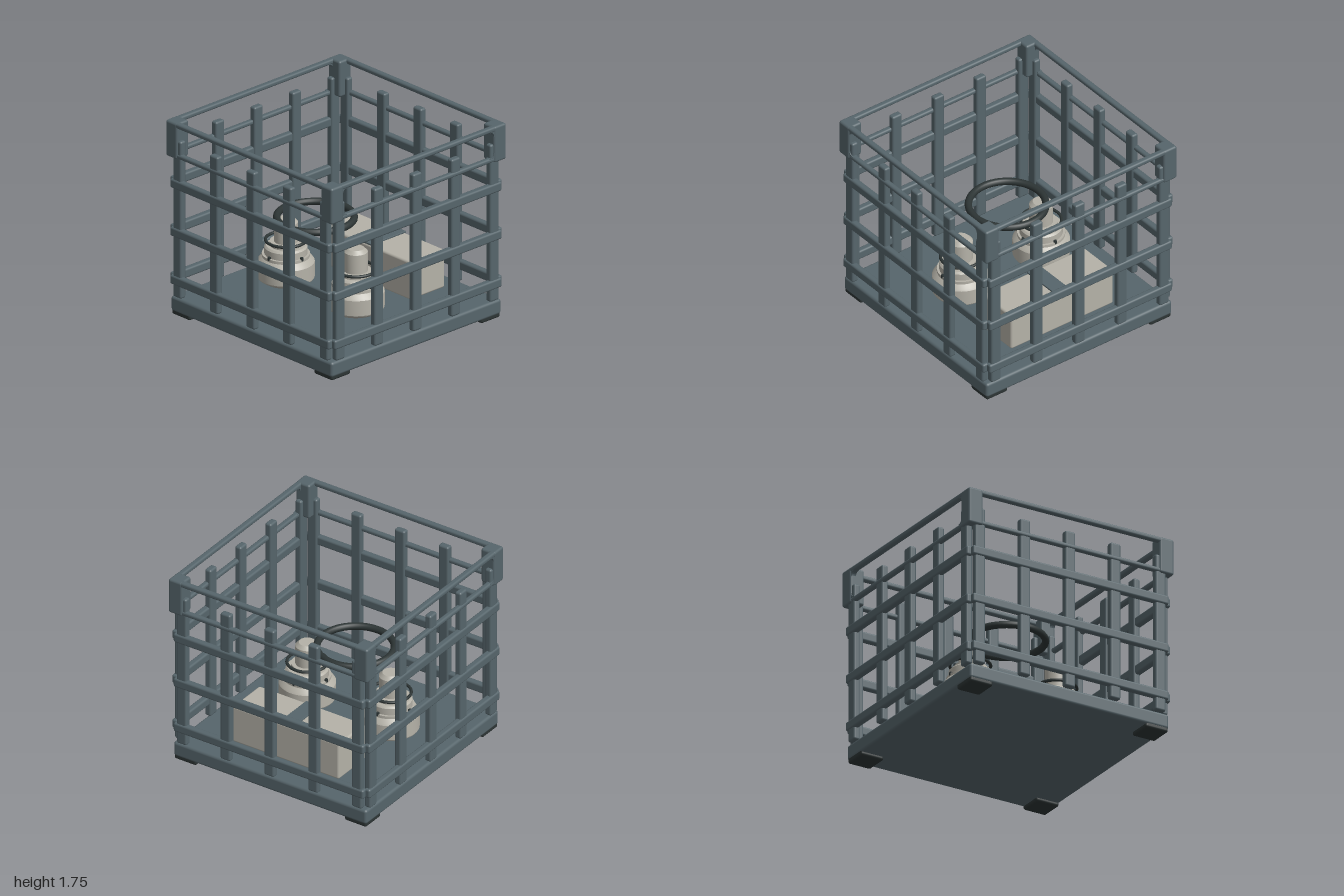
import * as THREE from 'three';
import { toCreasedNormals } from 'three/addons/utils/BufferGeometryUtils.js';
import { RoundedBoxGeometry } from 'three/addons/geometries/RoundedBoxGeometry.js';

const material = (name, color) => {
  const m = new THREE.MeshStandardMaterial({ color });
  m.name = name;
  return m;
};

export function createModel() {
  const slate = material('slate metal', 0x56656b);
  const cream = material('warm grey', 0xb5b2a8);
  const dark = material('dark rubber', 0x2d3535);
  const model = new THREE.Group();
  model.name = 'cageCrate';

  const add = (parent, name, geometry, mat, x = 0, y = 0, z = 0) => {
    const mesh = new THREE.Mesh(geometry, mat);
    mesh.name = name;
    mesh.position.set(x, y, z);
    parent.add(mesh);
    return mesh;
  };
  const rounded = (w, h, d, r) => new RoundedBoxGeometry(w, h, d, 3, r);

  // Base tray
  add(model, 'base', rounded(1.94, 0.135, 1.94, 0.025), slate, 0, 0.0975, 0);

  // Feet and corner caps
  const footGeo = rounded(0.22, 0.055, 0.22, 0.02);
  const capGeo = rounded(0.138, 0.325, 0.138, 0.02);
  for (const sx of [-1, 1]) for (const sz of [-1, 1]) {
    add(model, 'foot', footGeo, dark, sx * 0.855, 0.0275, sz * 0.855);
    add(model, 'cornerCap', capGeo, slate, sx * 0.931, 1.5925, sz * 0.931);
  }

  // Four cage walls, each with slats outside-banded by rails
  const slatGeo = rounded(0.1, 1.42, 0.062, 0.018);
  const bandGeo = rounded(1.91, 0.084, 0.06, 0.018);
  const thinGeo = rounded(1.9, 0.042, 0.05, 0.018);
  const topGeo = rounded(1.9, 0.045, 0.055, 0.018);
  ['frontWall', 'leftWall', 'backWall', 'rightWall'].forEach((name, i) => {
    const wall = new THREE.Group();
    wall.name = name;
    wall.rotation.y = i * Math.PI / 2;
    for (const x of [-0.88, -0.44, 0, 0.44, 0.88]) {
      add(wall, 'slat', slatGeo, slate, x, 0.885, 0.954);
    }
    for (const y of [0.326, 0.76, 1.195]) add(wall, 'band', bandGeo, slate, 0, y, 0.965);
    add(wall, 'upperRail', thinGeo, slate, 0, 1.457, 0.967);
    add(wall, 'topRail', topGeo, slate, 0, 1.732, 0.97);

    // Rounded corners of the hand openings on the two sides
    if (i % 2) for (const s of [-1, 1]) for (const [y, v] of [[1.712, -1], [1.476, 1]]) {
      const r = 0.045;
      const shape = new THREE.Shape();
      shape.moveTo(s * 0.01, -v * 0.005);
      shape.lineTo(-s * r, -v * 0.005);
      shape.lineTo(-s * r, 0);
      shape.quadraticCurveTo(0, 0, 0, v * r);
      shape.lineTo(s * 0.01, v * r);
      shape.closePath();
      const geo = new THREE.ExtrudeGeometry(shape, { depth: 0.045, bevelEnabled: false, curveSegments: 6 });
      add(wall, 'openingFillet', geo, slate, s * 0.863, y, 0.947);
    }
    model.add(wall);
  });

  // Two stepped pots with seal rings and bolts
  const profile = [
    [0, 0.22], [0.19, 0.22], [0.235, 0.25], [0.24, 0.26], [0.24, 0.395], [0.23, 0.41],
    [0.2, 0.44], [0.2, 0.465], [0.18, 0.465], [0.18, 0.525], [0.165, 0.54],
    [0.135, 0.54], [0.135, 0.575], [0.1, 0.575], [0.1, 0.745], [0.07, 0.775], [0, 0.775],
  ].map(([r, y]) => new THREE.Vector2(r, y));
  const potGeo = toCreasedNormals(new THREE.LatheGeometry(profile, 40), 0.45);
  const sealGeo = new THREE.TorusGeometry(0.17, 0.013, 10, 40).rotateX(Math.PI / 2);
  const boltGeo = new THREE.CylinderGeometry(0.014, 0.014, 0.03, 8);
  for (const x of [-0.455, 0.385]) {
    const pot = new THREE.Group();
    pot.name = 'pot';
    pot.position.set(x, 0, 0.14);
    add(pot, 'potBody', potGeo, cream);
    add(pot, 'sealRing', sealGeo, dark, 0, 0.585, 0);
    for (let k = 0; k < 4; k++) {
      const a = k * Math.PI / 2;
      add(pot, 'bolt', boltGeo, dark, Math.cos(a) * 0.19, 0.465, Math.sin(a) * 0.19);
    }
    model.add(pot);
  }

  // Large loose ring
  add(model, 'largeRing', new THREE.TorusGeometry(0.322, 0.031, 14, 56).rotateX(Math.PI / 2),
    dark, -0.1, 0.9, 0.14);

  // Rear case with a strap over its lid
  add(model, 'case', rounded(1.07, 0.345, 0.395, 0.02), cream, 0, 0.3725, -0.54);
  add(model, 'strap', rounded(0.14, 0.016, 0.4, 0.004), slate, -0.005, 0.552, -0.54);

  return model;
}
